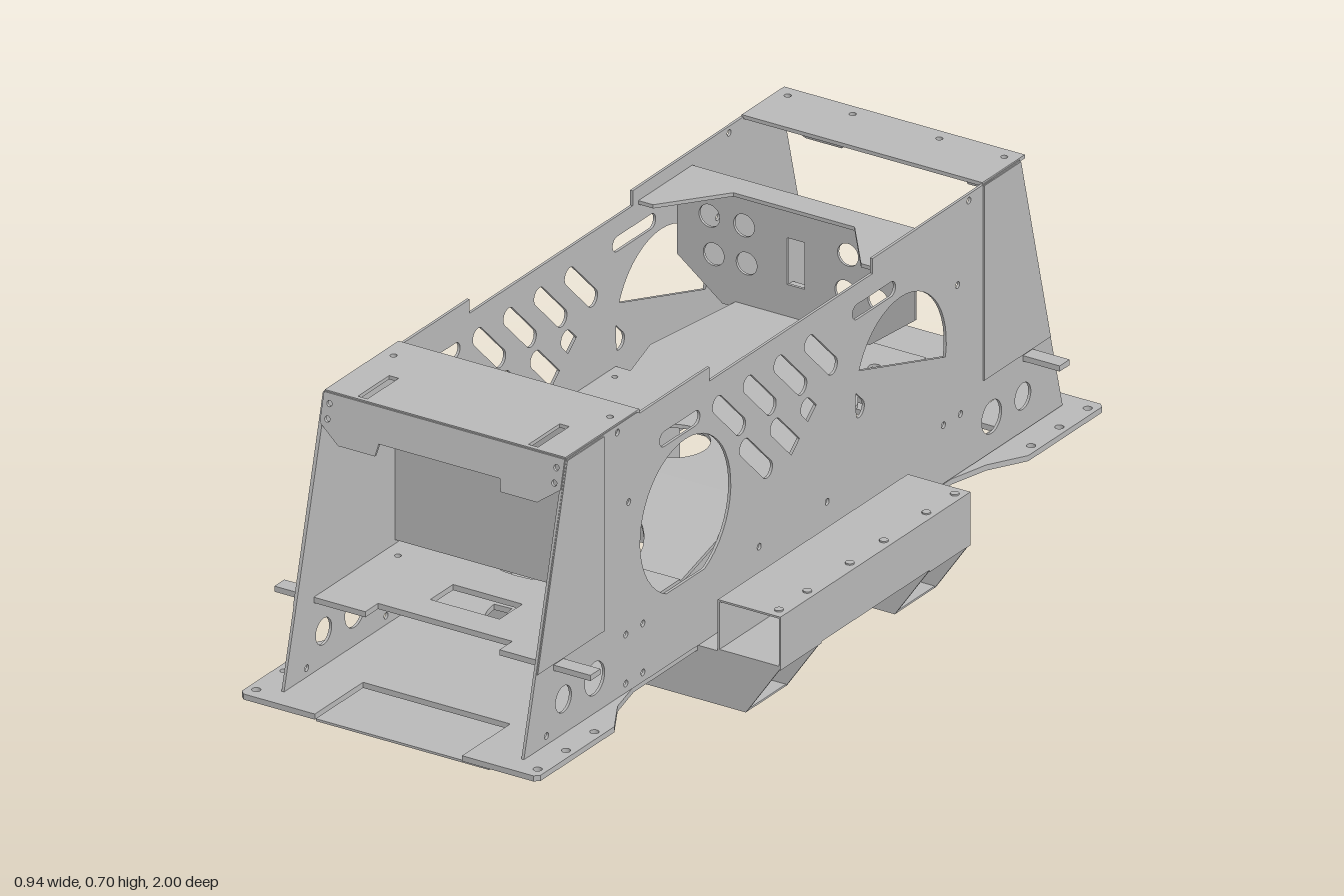
import * as THREE from 'three';

const steel = new THREE.MeshStandardMaterial({ color: 0xb8b8b8, side: THREE.DoubleSide });
steel.name = 'sheet steel grey';

// hole helpers: each returns a Path
const poly = (pts) => new THREE.Path(pts.map(([a, b]) => new THREE.Vector2(a, b)));
const rect = (a, b, w, h) => poly([[a - w / 2, b - h / 2], [a + w / 2, b - h / 2], [a + w / 2, b + h / 2], [a - w / 2, b + h / 2]]);
const round = (a, b, r) => new THREE.Path().absarc(a, b, r, 0, Math.PI * 2, true);
function slot(a1, b1, a2, b2, r) {
  const t = Math.atan2(b2 - b1, a2 - a1), q = Math.PI / 2;
  const p = new THREE.Path();
  p.absarc(a2, b2, r, t - q, t + q, false);
  p.absarc(a1, b1, r, t + q, t + 3 * q, false);
  p.closePath();
  return p;
}
function arcSlot(a, b, r1, r2, t1, t2) {
  const p = new THREE.Path();
  p.absarc(a, b, r2, t1, t2, false);
  p.absarc(a, b, r1, t2, t1, true);
  p.closePath();
  return p;
}
const mirrorPts = (pts) => [...pts, ...pts.slice().reverse().map(([a, b]) => [-a, b])];
const box = (x, z1, z2) => [[x, z1], [x, z2], [-x, z2], [-x, z1]];

export function createModel() {
  const model = new THREE.Group();
  model.name = 'chassis';

  function sheet(name, outline, holes, t) {
    const s = new THREE.Shape(outline.map(([a, b]) => new THREE.Vector2(a, b)));
    s.holes = holes;
    const m = new THREE.Mesh(new THREE.ExtrudeGeometry(s, { depth: t, bevelEnabled: false, curveSegments: 20 }), steel);
    m.name = name;
    model.add(m);
    return m;
  }
  // flat sheet drawn in (x, z), top face at y; lift(z) tilts it
  function flat(name, outline, holes, y, t = 0.008, lift = null) {
    const m = sheet(name, outline, holes, t);
    m.geometry.rotateX(Math.PI / 2);
    if (lift) {
      const p = m.geometry.attributes.position;
      for (let i = 0; i < p.count; i++) p.setY(i, p.getY(i) + lift(p.getZ(i)));
      m.geometry.computeVertexNormals();
    }
    m.position.y = y;
    return m;
  }
  // upright sheet drawn in (z, y), centred on x
  function side(name, outline, holes, x, t = 0.006) {
    const m = sheet(name, outline, holes, t);
    m.geometry.rotateY(-Math.PI / 2);
    m.position.x = x + t / 2;
    return m;
  }
  // upright sheet drawn in (x, y), centred on z; lean pushes the lower edge outwards
  function wall(name, outline, holes, z, t = 0.006, lean = 0, top = 0) {
    const m = sheet(name, outline, holes, t);
    m.geometry.translate(0, 0, -t / 2);
    if (lean) {
      const p = m.geometry.attributes.position;
      for (let i = 0; i < p.count; i++) p.setZ(i, p.getZ(i) + lean * (top - p.getY(i)));
      m.geometry.computeVertexNormals();
    }
    m.position.z = z;
    return m;
  }

  // main side plates with wheel-sized openings and diagonal vents
  const sideOutline = [[0.95, 0.115], [0.91, 0.27], [0.80, 0.70], [0.55, 0.70], [0.54, 0.695], [0.295, 0.695], [0.295, 0.665],
    [-0.28, 0.665], [-0.28, 0.697], [-0.80, 0.70], [-0.91, 0.27], [-0.95, 0.115]];
  const sideHoles = () => {
    const h = [slot(0.345, 0.605, 0.455, 0.605, 0.016), slot(-0.225, 0.605, -0.345, 0.605, 0.016),
      round(0.05, 0.32, 0.028), round(-0.045, 0.32, 0.028)];
    const cut = Math.asin(0.145 / 0.16);
    for (const s of [1, -1]) {
      const p = new THREE.Path();
      p.absarc(s * 0.38, 0.415, 0.16, -cut, Math.PI + cut, false);
      p.closePath();
      h.push(p, round(s * 0.81, 0.19, 0.028), round(s * 0.70, 0.19, 0.035));
      for (const [z, y] of [[0.59, 0.24], [0.53, 0.24], [0.59, 0.135], [0.53, 0.135], [0.78, 0.685], [0.73, 0.685],
        [0.62, 0.685], [0.12, 0.24], [0.24, 0.135], [0.87, 0.135], [0.58, 0.52]]) h.push(round(s * z, y, 0.007));
    }
    for (let i = 0; i < 4; i++) {
      const z = 0.265 - i * 0.108;
      h.push(slot(z, 0.602, z - 0.078, 0.525, 0.019));
      h.push(slot(z - 0.095, 0.472, z - 0.173, 0.395, 0.019));
    }
    return h;
  };
  for (const s of [1, -1]) {
    side('sidePlate', sideOutline, sideHoles(), s * 0.277);
    side('innerRib', [[-0.33, 0.115], [0.33, 0.115], [0.33, 0.255], [-0.33, 0.255]], [], s * 0.2, 0.004);
    // end reinforcement skins
    for (const e of [1, -1])
      side('cornerSkin', [[0.67, 0.28], [0.905, 0.28], [0.80, 0.697], [0.67, 0.697]].map(([z, y]) => [e * z, y]), [], s * 0.281, 0.003);
  }

  // roofs with folded lips
  flat('frontRoof', box(0.278, 0.54, 0.80),
    [...[1, -1].map((s) => rect(s * 0.197, 0.735, 0.022, 0.11)), ...[1, -1].map((s) => round(s * 0.25, 0.6, 0.007))], 0.703);
  flat('rearRoof', box(0.278, -0.82, -0.67), [-0.25, -0.1, 0.1, 0.25].map((x) => round(x, -0.79, 0.007)), 0.703);
  const lip = mirrorPts([[0.278, 0.70], [0.278, 0.64], [0.23, 0.605], [0.145, 0.605], [0.14, 0.63]]);
  const lipHoles = () => [1, -1].flatMap((s) => [round(s * 0.262, 0.65, 0.006), round(s * 0.262, 0.68, 0.006)]);
  wall('frontLip', lip, lipHoles(), 0.80, 0.006, 0.25, 0.70);
  wall('rearLip', lip, lipHoles(), -0.80, 0.006, -0.25, 0.70);

  // bulkheads
  wall('frontBulkhead', mirrorPts([[0.275, 0.70], [0.275, 0.285]]), [], 0.555);
  const bulkHoles = [-0.2, -0.12, 0.12, 0.2].flatMap((x) => [round(x, 0.60, 0.024), round(x * 0.95, 0.52, 0.024)]);
  bulkHoles.push(rect(0, 0.55, 0.04, 0.1));
  wall('rearBulkhead', mirrorPts([[0.275, 0.665], [0.275, 0.50], [0.17, 0.42]]), bulkHoles, -0.44);
  flat('bulkheadCap', mirrorPts([[0.275, -0.49], [0.275, -0.30], [0.24, -0.30], [0.14, -0.43]]), [], 0.668);

  // cabin floor: level centre, dropping forward, rising rearward
  flat('centreFloor', box(0.274, -0.22, 0.13), [round(0, 0, 0.075),
    ...[1, -1].flatMap((s) => [-0.18, -0.06, 0.1].map((z) => round(s * 0.25, z, 0.006)))], 0.345);
  const arch = [];
  for (let i = 0; i <= 16; i++) {
    const a = Math.PI * i / 16;
    arch.push([0.16 * Math.cos(a), 0.39 - 0.16 * Math.sin(a)]);
  }
  flat('frontFloorSlope', [[0.274, 0.13], [0.274, 0.39], ...arch, [-0.274, 0.39], [-0.274, 0.13]], [], 0.345, 0.008,
    (z) => -0.28 * (z - 0.13));
  flat('rearFloorSlope', mirrorPts([[0.13, -0.45], [0.24, -0.29], [0.24, -0.22]]), [], 0.345, 0.008, (z) => -0.4 * (z + 0.22));

  // mid-height shelves with outboard tabs
  const shelf = (e, inner) => mirrorPts([[0.274, inner], [0.274, 0.81], [0.365, 0.81], [0.365, 0.845], [0.155, 0.845], [0.155, 0.80]]
    .map(([x, z]) => [x, e * z]));
  const shelfArch = arch.map(([x, z]) => [x, 0.78 - z]);
  flat('frontShelf', [...shelf(1, 0.39), ...shelfArch.slice().reverse()],
    [rect(0, 0.69, 0.16, 0.08), ...[1, -1].map((s) => round(s * 0.24, 0.6, 0.007))], 0.277, 0.012);
  flat('rearShelf', shelf(-1, 0.48), [...[1, -1].flatMap((s) => [round(s * 0.22, -0.57, 0.012), round(s * 0.25, -0.7, 0.007)])], 0.277, 0.012);
  flat('rearTray', box(0.155, -0.66, -0.51), [1, -1].map((s) => round(s * 0.095, -0.57, 0.013)), 0.30, 0.006);

  // underbody end plates
  const screws = (e) => [1, -1].flatMap((s) => [0.97, 0.87, 0.77].map((z) => round(s * 0.325, e * z, 0.009)));
  const fan = [];
  for (let i = 0; i < 8; i++) {
    const a = i * Math.PI / 4 + 0.06, b = a + Math.PI / 4 - 0.12;
    if (i < 4) fan.push(arcSlot(0, 0.39, 0.11, 0.15, a, b));
    fan.push(arcSlot(0, 0.39, 0.045, 0.095, a + 0.05, b - 0.05));
  }
  flat('frontBasePlate', mirrorPts([[0.24, 0.28], [0.278, 0.33], [0.278, 0.56], [0.30, 0.65], [0.345, 0.73], [0.345, 0.99], [0.335, 1.0],
    [0.17, 1.0], [0.17, 0.83]]), [...screws(1), ...fan], 0.116, 0.012);
  flat('frontSkid', box(0.2, 0.5, 0.95), [], 0.078, 0.005);

  // rear plate: spoked triangles behind, slotted grid ahead
  const truss = [];
  const rim = [[0.165, -0.845], [0.165, -0.975], [0.06, -0.975], [-0.06, -0.975], [-0.165, -0.975], [-0.165, -0.845]];
  for (let i = 0; i < rim.length - 1; i++) {
    const tri = [[0, -0.845], rim[i], rim[i + 1]];
    const c = [(tri[0][0] + tri[1][0] + tri[2][0]) / 3, (tri[0][1] + tri[1][1] + tri[2][1]) / 3];
    truss.push(poly(tri.map(([x, z]) => [c[0] + (x - c[0]) * 0.76, c[1] + (z - c[1]) * 0.76])));
  }
  for (const z of [-0.78, -0.70, -0.62, -0.54])
    for (const x of [-0.18, -0.06, 0.06, 0.18]) truss.push(rect(x, z, 0.085, 0.045));
  flat('rearBasePlate', mirrorPts([[0.278, -0.48], [0.278, -0.56], [0.30, -0.65], [0.345, -0.73], [0.345, -0.99], [0.335, -1.0]]),
    [...screws(-1), ...truss], 0.112, 0.012);

  // cross beams: hollow channels with tapered ends
  for (const e of [1, -1]) {
    for (const z of [0.192, 0.333])
      wall('beamWall', mirrorPts([[0.39, 0], [0.47, 0.115]]), [1, -1].map((s) => round(s * 0.113, 0.055, 0.035)), e * z, 0.004);
    flat('beamBottom', box(0.39, e * 0.19, e * 0.335), [], 0.004, 0.004);
    flat('beamTop', box(0.47, e * 0.19, e * 0.335), [], 0.115, 0.004);
  }

  // square-tube side rails, open at the ends
  for (const s of [1, -1]) {
    const m = sheet('sideRail', [[0.325, 0.115], [0.47, 0.115], [0.47, 0.225], [0.325, 0.225]].map(([x, y]) => [s * x, y]),
      [rect(s * 0.3975, 0.17, 0.137, 0.102)], 0.67);
    m.position.z = -0.335;
    // rail fasteners
    for (const z of [-0.31, -0.21, -0.06, 0.06, 0.21, 0.31]) {
      const bolt = new THREE.Mesh(new THREE.CylinderGeometry(0.009, 0.009, 0.004, 12), steel);
      bolt.name = 'railBolt';
      bolt.position.set(s * 0.45, 0.226, z);
      model.add(bolt);
    }
  }
  return model;
}
